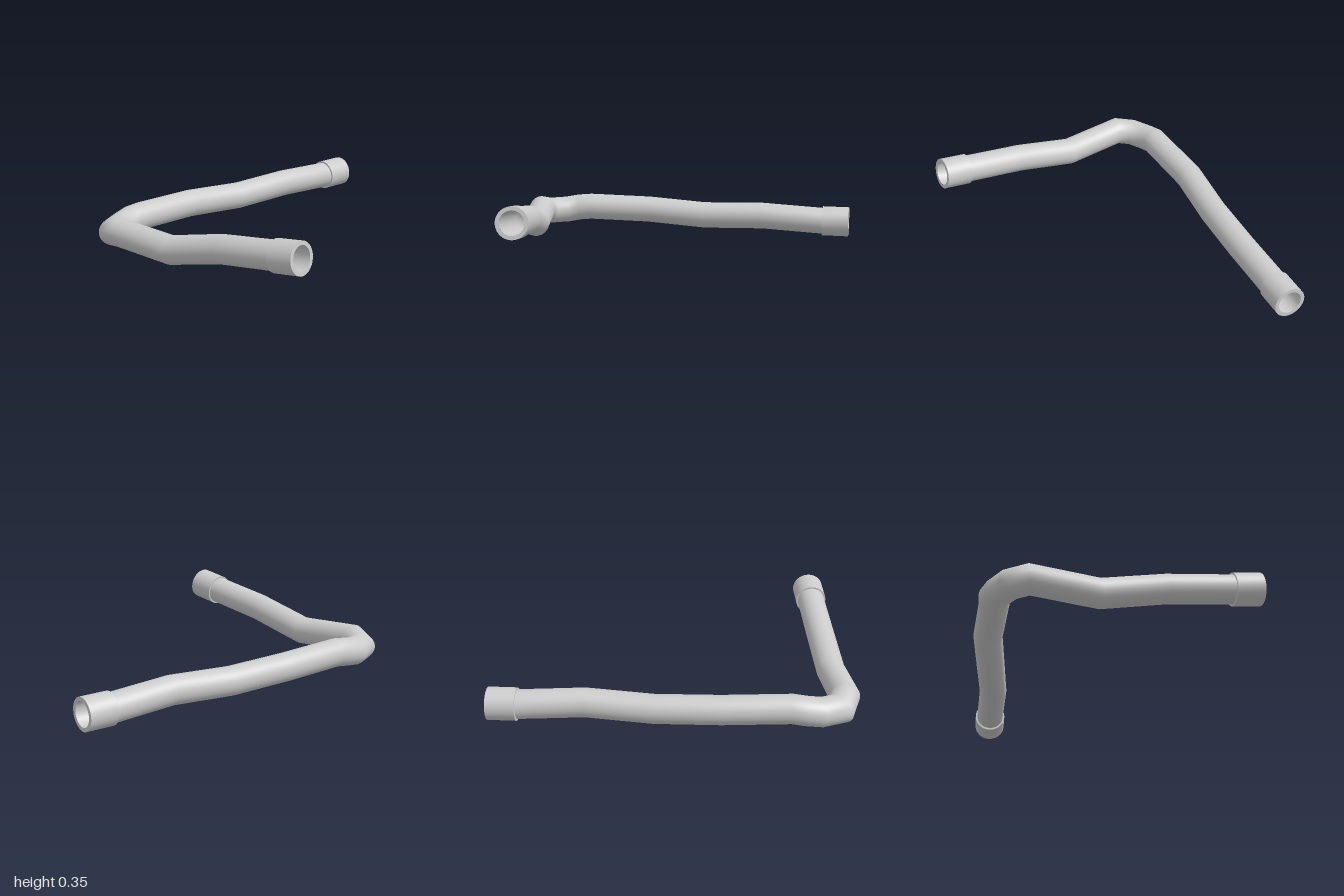
import * as THREE from 'three';
import { toCreasedNormals } from 'three/addons/utils/BufferGeometryUtils.js';

const SIDES = 40;
const TUBE_R = 0.08, BORE_R = 0.068, CUFF_R = 0.09;

// Centre line of the hose, from the rear cuff round the elbow to the side cuff
const PATH = [
  [-0.65, 0.09, -1], [-0.65, 0.092, -0.84], [-0.64, 0.115, -0.47], [-0.661, 0.105, -0.1],
  [-0.685, 0.128, 0.26], [-0.66, 0.14, 0.635], [-0.663, 0.133, 0.71], [-0.643, 0.12, 0.79],
  [-0.587, 0.118, 0.888], [-0.49, 0.14, 0.912], [-0.125, 0.115, 0.845],
  [0.23, 0.195, 0.782], [0.59, 0.24, 0.731], [0.747, 0.26, 0.709],
].map((p) => new THREE.Vector3(...p));

const direction = (a, b) => b.clone().sub(a).normalize();

// Sweeps a circle along straight segments, mitring every joint
function mitredTube(path, radius, inward) {
  const first = direction(path[0], path[1]);
  const u = new THREE.Vector3(0, 1, 0).cross(first).normalize();
  const v = first.clone().cross(u);
  let ring = [];
  for (let j = 0; j < SIDES; j++) {
    const a = (j / SIDES) * Math.PI * 2;
    ring.push(path[0].clone().addScaledVector(u, radius * Math.cos(a)).addScaledVector(v, radius * Math.sin(a)));
  }
  const points = [...ring], index = [];
  for (let i = 1; i < path.length; i++) {
    const dir = direction(path[i - 1], path[i]);
    const next = i < path.length - 1 ? direction(path[i], path[i + 1]) : dir;
    const plane = dir.clone().add(next).normalize();
    // Slide each point along the segment until it meets the mitre plane
    ring = ring.map((p) => p.clone().addScaledVector(dir, path[i].clone().sub(p).dot(plane) / dir.dot(plane)));
    points.push(...ring);
    for (let j = 0; j < SIDES; j++) {
      const k = (j + 1) % SIDES;
      const a = (i - 1) * SIDES + j, b = (i - 1) * SIDES + k, c = a + SIDES, d = b + SIDES;
      index.push(...(inward ? [a, c, b, b, c, d] : [a, b, c, b, d, c]));
    }
  }
  const geometry = new THREE.BufferGeometry().setFromPoints(points);
  geometry.setIndex(index);
  geometry.computeVertexNormals();
  return geometry;
}

// Sleeve with a stepped shoulder and an annular end face
function cuffGeometry(length) {
  const profile = [[0.07, 0], [CUFF_R, 0], [CUFF_R, length], [BORE_R, length]];
  const lathe = new THREE.LatheGeometry(profile.map((p) => new THREE.Vector2(...p)), SIDES);
  return toCreasedNormals(lathe, 0.6);
}

export function createModel() {
  const group = new THREE.Group();
  group.name = 'hose';
  const material = new THREE.MeshStandardMaterial({ color: 0xcccccc });
  const add = (name, geometry) => {
    const mesh = new THREE.Mesh(geometry, material);
    mesh.name = name;
    group.add(mesh);
    return mesh;
  };

  // Outer wall stops at the cuff shoulders; the bore runs right through
  add('hoseWall', mitredTube(PATH.slice(1, -1), TUBE_R, false));
  add('hoseBore', mitredTube(PATH, BORE_R, true));

  // End cuffs, pointing outward along the last segments
  const n = PATH.length;
  for (const [name, start, end] of [['rearCuff', PATH[1], PATH[0]], ['sideCuff', PATH[n - 2], PATH[n - 1]]]) {
    const cuff = add(name, cuffGeometry(start.distanceTo(end)));
    cuff.position.copy(start);
    cuff.quaternion.setFromUnitVectors(new THREE.Vector3(0, 1, 0), direction(start, end));
  }
  return group;
}
